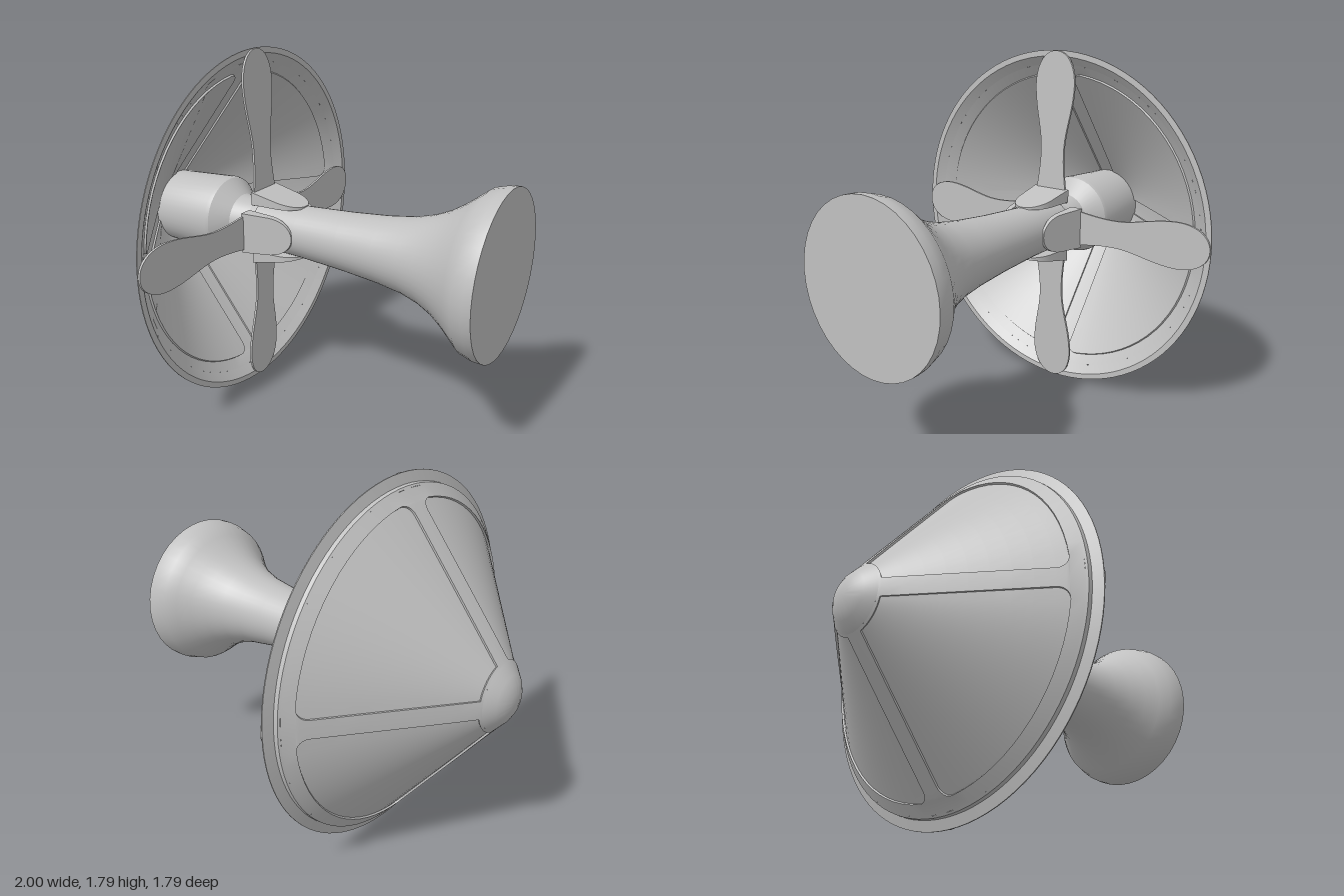
import * as THREE from 'three';
import { toCreasedNormals } from 'three/addons/utils/BufferGeometryUtils.js';

const AXIS_Y = 0.895;

export function createModel() {
  const model = new THREE.Group();
  const grey = new THREE.MeshStandardMaterial({ color: 0xc0c0c0 });
  grey.name = 'plain grey';

  const body = new THREE.Group();
  body.name = 'body';
  body.position.y = AXIS_Y;
  model.add(body);

  function add(parent, name, geometry, crease = 0.5) {
    const mesh = new THREE.Mesh(toCreasedNormals(geometry, crease), grey);
    mesh.name = name;
    parent.add(mesh);
    return mesh;
  }

  // Turned part around the x axis, profile given as [x, radius]
  function turned(name, profile, segments, crease) {
    const points = profile.map(([x, r]) => new THREE.Vector2(r, x));
    const geometry = new THREE.LatheGeometry(points, segments);
    geometry.rotateZ(-Math.PI / 2);
    return add(body, name, geometry, crease);
  }

  // Flared stem with a flat foot, and a hub inside the dish
  turned('stem', [
    [-0.35, 0], [-0.35, 0.115], [-0.3, 0.118], [-0.3, 0.127], [-0.05, 0.132],
    [0.2, 0.147], [0.4, 0.165], [0.54, 0.186], [0.64, 0.215], [0.72, 0.252],
    [0.79, 0.298], [0.85, 0.345], [0.9, 0.385], [0.96, 0.402], [1, 0.403], [1, 0],
  ], 40, 0.6);
  turned('innerHub', [
    [-0.88, 0.19], [-0.54, 0.21], [-0.52, 0.205], [-0.44, 0.13], [-0.34, 0.115],
  ], 40, 0.5);

  // Rounded nose, outside and inside
  turned('nose', [
    [-1, 0], [-0.996, 0.04], [-0.985, 0.078], [-0.965, 0.113], [-0.925, 0.16],
  ], 48, 0.8);
  turned('noseInside', [[-0.9116, 0.1493], [-0.935, 0.1], [-0.955, 0]], 48, 0.8);

  // Flared rim of the dish
  turned('rim', [
    [-0.393, 0.835], [-0.386, 0.844], [-0.366, 0.846], [-0.35, 0.895],
    [-0.345, 0.895], [-0.345, 0.866], [-0.3796, 0.8247],
  ], 96, 0.4);

  // Conical wall with four sunken panels, built from cross-sections
  const panelStart = -0.917, panelEnd = -0.43, corner = 0.06, depth = 0.01;
  const rows = [{ x: -0.925 }, { x: panelStart }];
  for (let i = 0; i < 9; i++) {
    rows.push({ x: panelStart + (0.45 * i) / 8, sunk: true });
  }
  for (let i = 1; i <= 6; i++) {
    const x = -0.467 + 0.037 * Math.sin((i / 6) * Math.PI / 2);
    rows.push({ x, sunk: true });
  }
  rows.push({ x: panelEnd }, { x: -0.393 });

  function wall(name, offset, inside) {
    const positions = [], index = [], arcs = 16;
    const perQuarter = arcs + 5;
    const columns = perQuarter * 4;
    for (const { x, sunk } of rows) {
      const r = 0.17 + 1.27 * (x + 0.917);
      // Ribs widen towards the rim to round the panel corners
      const d = THREE.MathUtils.clamp((x + 0.467) / 0.037, 0, 1) * corner;
      const halfRib = 0.045 + corner - Math.sqrt(corner * corner - d * d);
      const a = halfRib / r;
      for (let q = 0; q < 4; q++) {
        for (let c = 0; c < perQuarter; c++) {
          let angle = 0;
          const inPanel = c >= 2 && c <= arcs + 2;
          if (inPanel) angle = a + (Math.PI / 2 - 2 * a) * (c - 2) / arcs;
          else if (c === 1) angle = a;
          else if (c === arcs + 3) angle = Math.PI / 2 - a;
          else if (c === arcs + 4) angle = Math.PI / 2;
          angle += q * Math.PI / 2;
          const inset = offset + (sunk && inPanel ? depth : 0);
          const radius = r - 0.619 * inset;
          positions.push(x + 0.786 * inset,
            radius * Math.cos(angle), radius * Math.sin(angle));
        }
      }
    }
    for (let i = 0; i < rows.length - 1; i++) {
      for (let j = 0; j < columns; j++) {
        const k = (j + 1) % columns;
        const p = i * columns + j, q = i * columns + k;
        const s = p + columns, t = q + columns;
        if (inside) index.push(p, s, q, q, s, t);
        else index.push(p, q, s, q, t, s);
      }
    }
    const geometry = new THREE.BufferGeometry();
    geometry.setAttribute('position', new THREE.Float32BufferAttribute(positions, 3));
    geometry.setIndex(index);
    add(body, name, geometry, 0.5);
  }
  wall('dishOutside', 0, false);
  wall('dishInside', 0.017, true);

  // Paddle outline: x is width, y is distance from the axis
  const paddle = new THREE.Shape();
  paddle.moveTo(-0.1, 0.12);
  paddle.lineTo(0.1, 0.12);
  paddle.bezierCurveTo(0.08, 0.24, 0.066, 0.33, 0.072, 0.42);
  paddle.bezierCurveTo(0.08, 0.52, 0.115, 0.6, 0.118, 0.72);
  paddle.bezierCurveTo(0.118, 0.83, 0.065, 0.893, 0, 0.893);
  paddle.bezierCurveTo(-0.065, 0.893, -0.118, 0.83, -0.118, 0.72);
  paddle.bezierCurveTo(-0.115, 0.6, -0.08, 0.52, -0.072, 0.42);
  paddle.bezierCurveTo(-0.066, 0.33, -0.08, 0.24, -0.1, 0.12);
  const paddleGeometry = new THREE.ExtrudeGeometry(paddle,
    { depth: 0.012, bevelEnabled: false, curveSegments: 10 });
  paddleGeometry.rotateY(Math.PI / 2);
  const pp = paddleGeometry.attributes.position;
  for (let i = 0; i < pp.count; i++) {
    pp.setX(i, pp.getX(i) - 0.312 - 0.05 * (pp.getY(i) - 0.19)); // lean to the rim
  }

  // Tongue lying along the stem, thinning to its rounded end
  const tongue = new THREE.Shape();
  tongue.moveTo(-0.31, -0.105);
  tongue.lineTo(-0.16, -0.098);
  tongue.bezierCurveTo(-0.09, -0.09, -0.048, -0.05, -0.048, 0);
  tongue.bezierCurveTo(-0.048, 0.05, -0.09, 0.09, -0.16, 0.098);
  tongue.lineTo(-0.31, 0.105);
  tongue.closePath();
  const tongueGeometry = new THREE.ExtrudeGeometry(tongue,
    { depth: 0.1, bevelEnabled: false, curveSegments: 10 });
  tongueGeometry.rotateX(-Math.PI / 2);
  const tp = tongueGeometry.attributes.position;
  for (let i = 0; i < tp.count; i++) {
    const top = 0.19 - 0.21 * (tp.getX(i) + 0.3);
    tp.setY(i, tp.getY(i) > 0.05 ? top : 0.126);
  }

  // Four blades around the stem
  for (let i = 0; i < 4; i++) {
    const blade = new THREE.Group();
    blade.name = 'blade' + (i + 1);
    blade.rotation.x = i * Math.PI / 2;
    body.add(blade);
    add(blade, 'paddle', paddleGeometry);
    add(blade, 'tongue', tongueGeometry);
  }

  return model;
}
